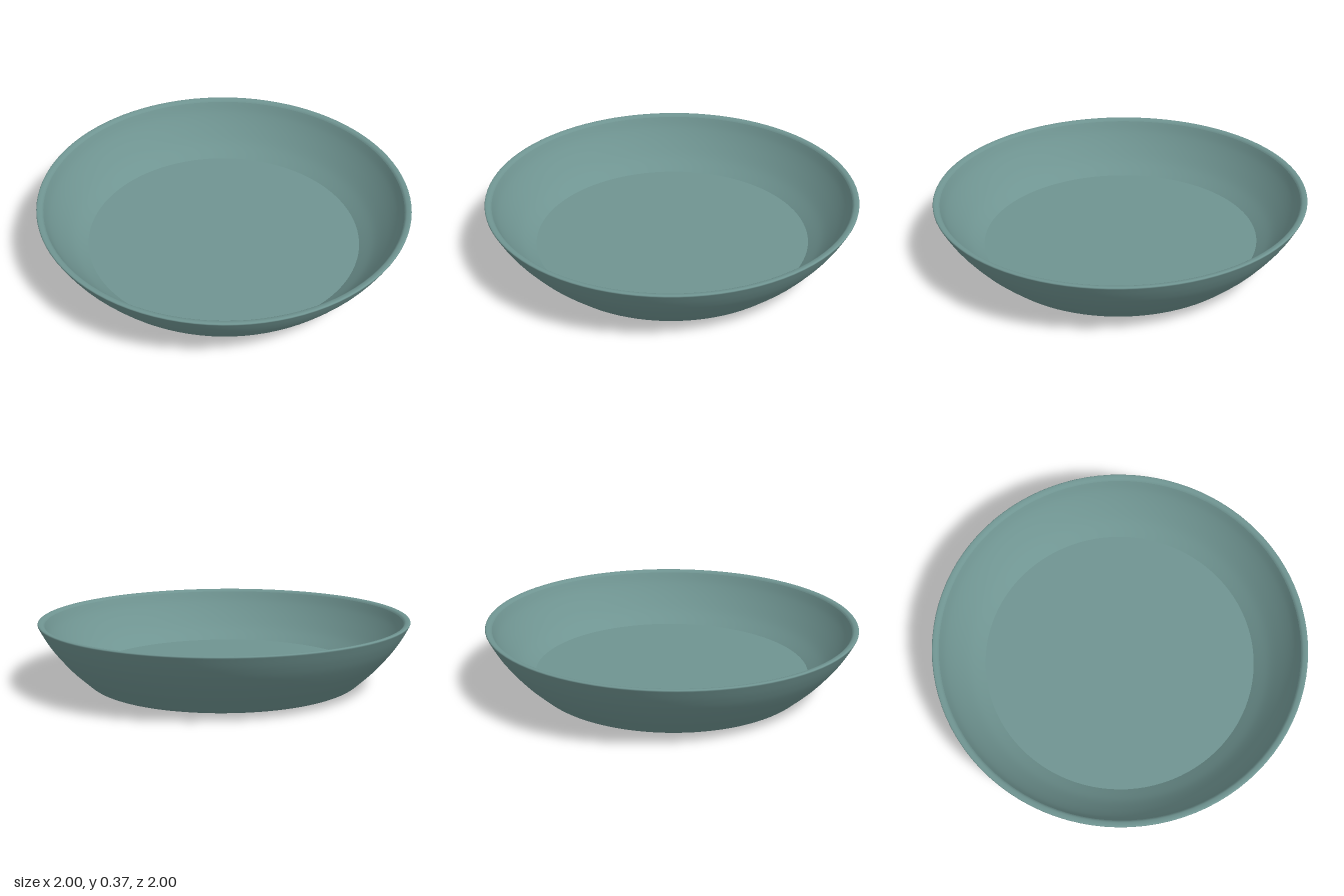
import * as THREE from 'three';

const glaze = new THREE.MeshStandardMaterial({ color: 0x6f9491 });
glaze.name = 'grey teal glaze';

// Turn a profile of [radius, height] points; smooth ones run through a spline
function turned(name, profile, smooth = 0) {
  let points = profile.map(([r, y]) => new THREE.Vector2(r, y));
  if (smooth) points = new THREE.SplineCurve(points).getPoints(smooth);
  const mesh = new THREE.Mesh(new THREE.LatheGeometry(points, 96), glaze);
  mesh.name = name;
  return mesh;
}

export function createModel() {
  const dish = new THREE.Group();
  dish.name = 'dish';

  // Underside: recessed base, then the rounded foot that the dish stands on
  dish.add(turned('recessedBase', [[0, 0.028], [0.3, 0.028], [0.61, 0.028]]));
  dish.add(turned('footRing', [
    [0.61, 0.028], [0.63, 0.024], [0.65, 0.01], [0.67, 0.002], [0.69, 0],
    [0.71, 0.003], [0.735, 0.016], [0.76, 0.038],
  ], 24));

  // Small raised bead in the middle of the base
  dish.add(turned('baseBead', [
    [0.165, 0.029], [0.175, 0.018], [0.188, 0.013], [0.202, 0.018], [0.215, 0.029],
  ], 12));

  // Flared bowl wall, outside and inside
  dish.add(turned('outerWall', [
    [0.76, 0.038], [0.84, 0.113], [0.92, 0.208], [0.965, 0.275], [0.998, 0.336],
  ], 24));
  dish.add(turned('rim', [
    [0.998, 0.336], [1.0, 0.342], [0.996, 0.347], [0.985, 0.347], [0.972, 0.343], [0.964, 0.335],
  ], 15));
  dish.add(turned('innerWall', [
    [0.964, 0.335], [0.935, 0.277], [0.885, 0.206], [0.82, 0.132], [0.745, 0.07],
  ], 24));
  dish.add(turned('floor', [[0.745, 0.07], [0.4, 0.07], [0, 0.07]]));

  // The dish leans very slightly to its left and front
  dish.rotation.set(0.008, 0, -0.0075);
  dish.position.set(-0.0026, 0.0077, -0.0027);

  const model = new THREE.Group();
  model.name = 'shallowDish';
  model.add(dish);
  return model;
}
